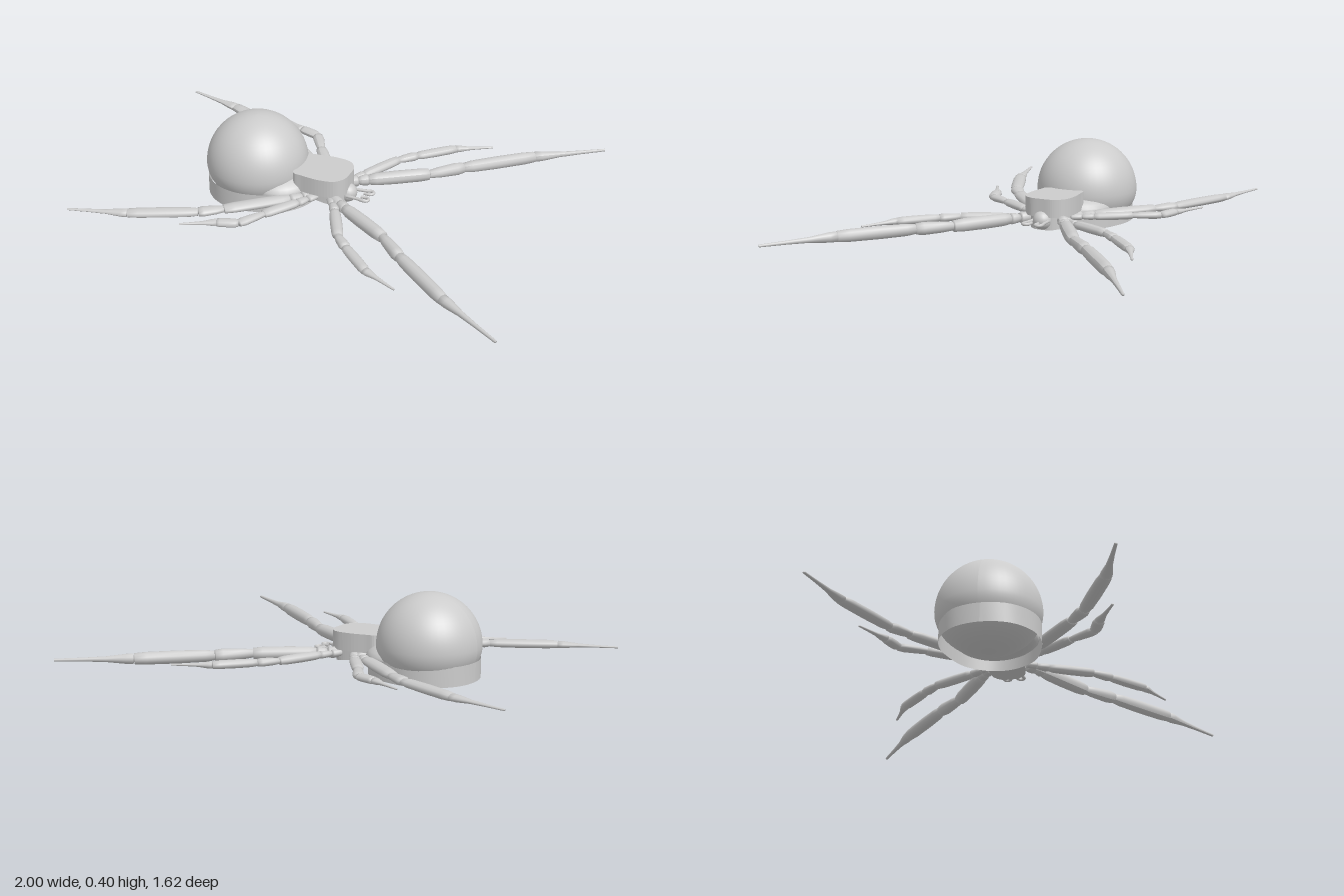
import * as THREE from 'three';

const mat = new THREE.MeshStandardMaterial({ color: 0xcccccc, side: THREE.DoubleSide });
const LEG_Y = 0.109;

function add(parent, name, geometry) {
  const mesh = new THREE.Mesh(geometry, mat);
  mesh.name = name;
  parent.add(mesh);
  return mesh;
}

// Closed smooth outline in plan; points are [x, z] for one half, mirrored across z = 0
function planOutline(half) {
  const pts = half.map(([x, z]) => new THREE.Vector3(x, 0, z));
  const other = half.filter(p => p[1] > 0).reverse().map(([x, z]) => new THREE.Vector3(x, 0, -z));
  return new THREE.CatmullRomCurve3([...pts, ...other], true, 'centripetal').getPoints(64);
}

// Open vertical wall following a plan outline
function wall(outline, y0, y1) {
  const pos = [], idx = [];
  outline.forEach((p, i) => {
    pos.push(p.x, y0, p.z, p.x, y1, p.z);
    if (i) idx.push(2 * i - 2, 2 * i - 1, 2 * i, 2 * i, 2 * i - 1, 2 * i + 1);
  });
  const g = new THREE.BufferGeometry();
  g.setAttribute('position', new THREE.Float32BufferAttribute(pos, 3));
  g.setIndex(idx);
  g.computeVertexNormals();
  return g;
}

// Solid block standing on y = 0 with the given plan
function block(outline, height) {
  const shape = new THREE.Shape(outline.map(p => new THREE.Vector2(p.x, -p.z)));
  return new THREE.ExtrudeGeometry(shape, { depth: height, bevelEnabled: false }).rotateX(-Math.PI / 2);
}

// Tapered leg segment between two plan points; profile is [radius factor, fraction of length]
function segment(parent, name, a, b, radius, profile, flat) {
  const dir = new THREE.Vector3(b[0] - a[0], 0, b[1] - a[1]);
  const len = dir.length();
  const g = new THREE.LatheGeometry(profile.map(([r, t]) => new THREE.Vector2(r * radius, t * len)), 12);
  g.applyQuaternion(new THREE.Quaternion().setFromUnitVectors(new THREE.Vector3(0, 1, 0), dir.normalize()));
  g.scale(1, flat, 1);
  g.computeVertexNormals();
  add(parent, name, g).position.set(a[0], LEG_Y, a[1]);
}

const BULGE = [[0, 0], [0.75, 0.005], [0.93, 0.12], [1, 0.45], [0.97, 0.85], [0.85, 0.995], [0, 1]];
const SWELL = [[0, 0], [0.65, 0.01], [0.85, 0.3], [1, 0.8], [0.85, 0.99], [0, 1]];
const TIP = [[0, 0], [0.9, 0.005], [0.88, 0.1], [0.5, 0.35], [0.34, 0.65], [0.24, 0.995], [0, 1]];

// Each leg: joints from body to tip, thickest radius, vertical flattening
const LEGS = [
  { name: 'frontLeg', r: 0.031, flat: 0.95, pts: [[0.02, 0.08], [0.06, 0.108], [0.1, 0.135], [0.33, 0.285], [0.45, 0.4], [0.715, 0.62], [0.995, 0.808]] },
  { name: 'secondLeg', r: 0.026, flat: 0.75, pts: [[0.01, 0.08], [0.035, 0.12], [0.065, 0.17], [0.155, 0.35], [0.22, 0.42], [0.36, 0.55], [0.515, 0.63]] },
  { name: 'thirdLeg', r: 0.027, flat: 0.65, pts: [[-0.06, 0.08], [-0.083, 0.125], [-0.11, 0.17], [-0.205, 0.31], [-0.27, 0.42], [-0.36, 0.45], [-0.5, 0.525]] },
  { name: 'rearLeg', r: 0.033, flat: 0.6, pts: [[-0.08, 0.07], [-0.115, 0.11], [-0.155, 0.15], [-0.38, 0.34], [-0.47, 0.405], [-0.745, 0.53], [-1, 0.603]] },
];

// Segments from body to tip: name, radius factor, profile
const SEGMENTS = [['coxa', 0.85, BULGE], ['trochanter', 0.85, SWELL], ['femur', 1, BULGE],
  ['patella', 0.95, SWELL], ['tibia', 0.95, BULGE], ['tarsus', 0.85, TIP]];

function buildLeg({ name, r, flat, pts }, side) {
  const leg = new THREE.Group();
  leg.name = (side > 0 ? 'left' : 'right') + name[0].toUpperCase() + name.slice(1);
  const p = pts.map(([x, z]) => [x, z * side]);
  SEGMENTS.forEach(([part, k, profile], i) => segment(leg, part, p[i], p[i + 1], r * k, profile, flat));
  return leg;
}

export function createModel() {
  const model = new THREE.Group();
  model.name = 'spider';

  // Abdomen: a ball with a flatter underside
  const ball = new THREE.SphereGeometry(0.226, 48, 32);
  const pos = ball.attributes.position;
  for (let i = 0; i < pos.count; i++) if (pos.getY(i) < 0) pos.setY(i, pos.getY(i) * 0.77);
  ball.computeVertexNormals();
  add(model, 'abdomen', ball).position.set(-0.38, 0.174, -0.006);

  // Open skirt around the lower abdomen, running forward under the body
  const skirt = planOutline([[-0.596, 0], [-0.565, 0.115], [-0.48, 0.19], [-0.38, 0.213],
    [-0.28, 0.195], [-0.18, 0.15], [-0.12, 0.07], [-0.105, 0]]);
  add(model, 'abdomenSkirt', wall(skirt, 0.035, 0.12));

  // Shoulder joining abdomen and carapace
  const shoulder = add(model, 'shoulder', new THREE.SphereGeometry(1, 32, 16));
  shoulder.scale.set(0.15, 0.07, 0.18);
  shoulder.position.set(-0.25, 0.115, 0);

  // Carapace: flat-topped shell with rounded plan
  const plan = planOutline([[-0.175, 0], [-0.165, 0.09], [-0.12, 0.1], [-0.04, 0.108],
    [0.03, 0.095], [0.062, 0.055], [0.067, 0]]);
  add(model, 'carapace', block(plan, 0.08)).position.y = 0.125;

  // Narrower underside plate, sloping down towards the head
  const plate = block(plan, 0.065).scale(0.88, 1, 0.75);
  const v = plate.attributes.position;
  for (let i = 0; i < v.count; i++) if (v.getY(i) < 0.01) v.setY(i, 0.01 - v.getX(i) * 0.15);
  plate.computeVertexNormals();
  add(model, 'sternum', plate).position.y = 0.065;

  // Head front
  const head = add(model, 'head', new THREE.SphereGeometry(0.042, 20, 14));
  head.position.set(0.055, LEG_Y, 0);

  for (const side of [1, -1]) {
    // Hooked mouthparts
    const hook = [[0.06, 0.035], [0.11, 0.038], [0.155, 0.044], [0.165, 0.03], [0.155, 0.016], [0.125, 0.016]];
    const curve = new THREE.CatmullRomCurve3(hook.map(([x, z]) => new THREE.Vector3(x, LEG_Y, z * side)));
    add(model, side > 0 ? 'leftPalp' : 'rightPalp', new THREE.TubeGeometry(curve, 24, 0.007, 8));
    for (const leg of LEGS) model.add(buildLeg(leg, side));
  }
  return model;
}
